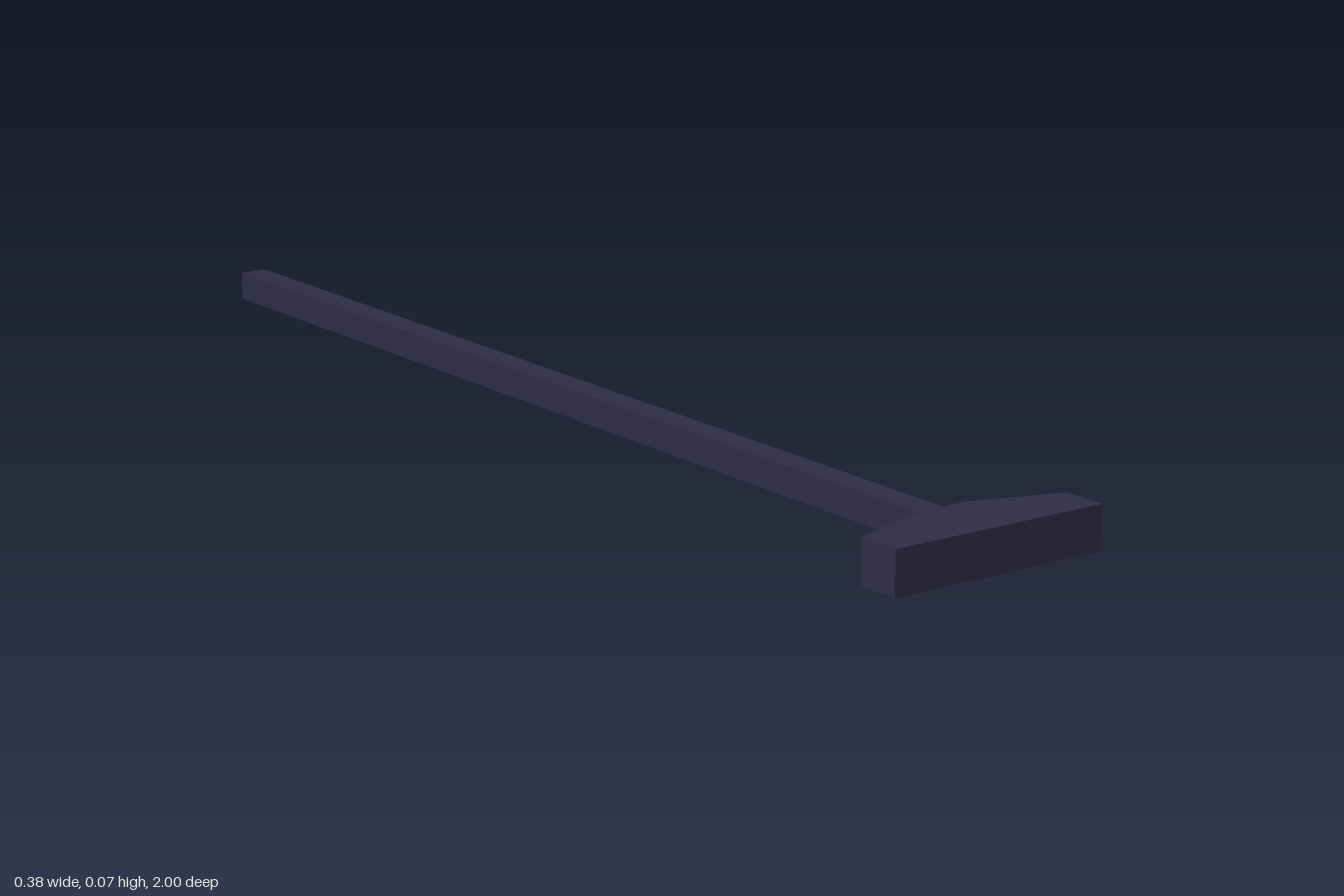
import * as THREE from 'three';

export function createModel() {
  const group = new THREE.Group();
  const darkIndigo = new THREE.MeshStandardMaterial({ color: 0x2e2c45 });
  darkIndigo.name = 'darkIndigo';
  const headHeight = 0.07;

  // Head: plan outline with a flat front and tapered shoulders, extruded upward
  const outline = new THREE.Shape([
    [-0.188, 1], [-0.188, 0.928], [-0.042, 0.88],
    [0.042, 0.88], [0.188, 0.928], [0.188, 1],
  ].map(([x, z]) => new THREE.Vector2(x, z)));
  const headGeometry = new THREE.ExtrudeGeometry(outline, { depth: headHeight, bevelEnabled: false });
  headGeometry.rotateX(Math.PI / 2).translate(0, headHeight, 0);
  const head = new THREE.Mesh(headGeometry, darkIndigo);
  head.name = 'head';

  // Long square handle, ending just inside the head
  const backEnd = -1, frontEnd = 0.89;
  const handle = new THREE.Mesh(new THREE.BoxGeometry(0.047, 0.047, frontEnd - backEnd), darkIndigo);
  handle.name = 'handle';
  handle.position.set(0, headHeight / 2, (frontEnd + backEnd) / 2);

  group.add(head, handle);
  return group;
}
